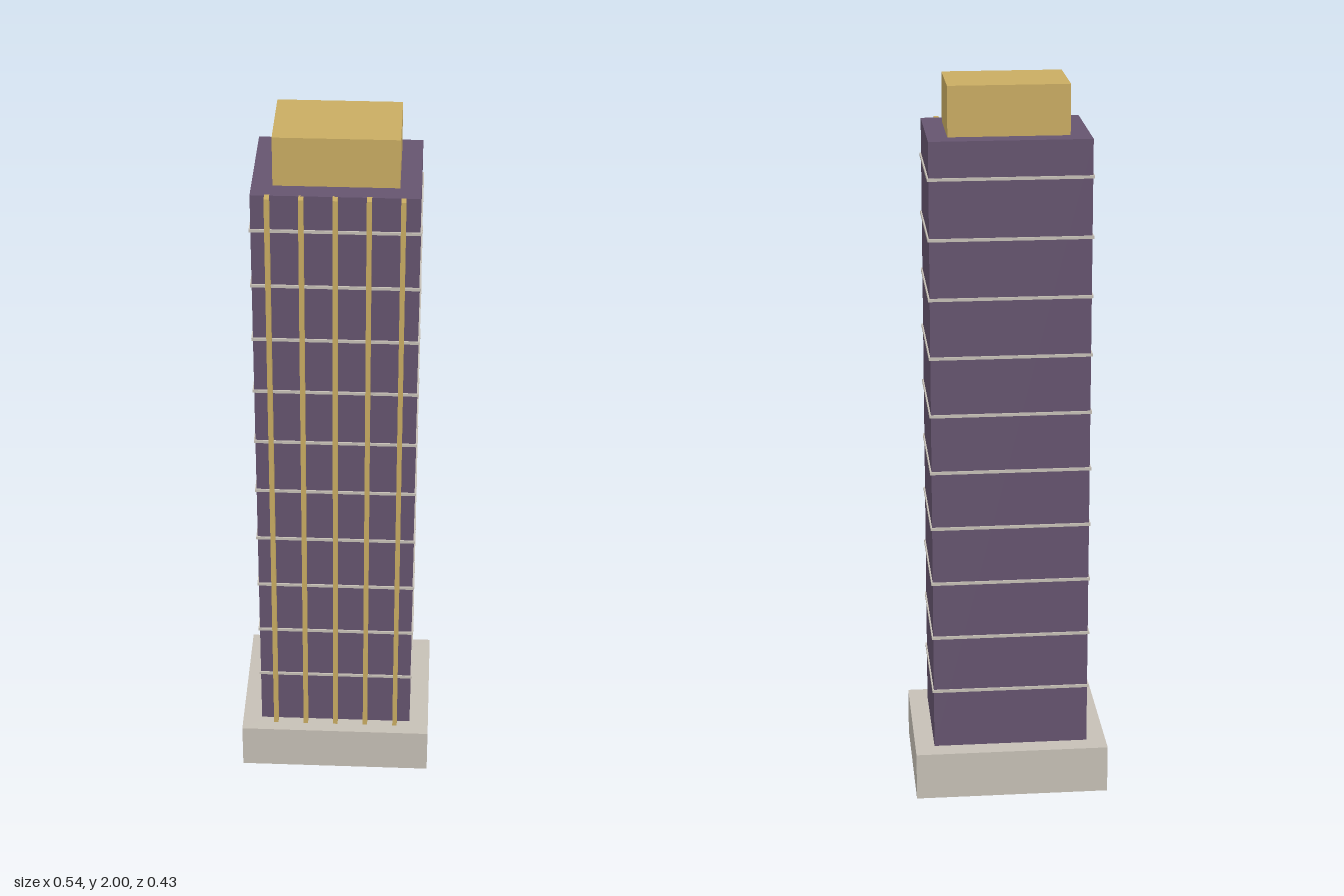
import * as THREE from 'three';

const U = 2 / 37; // one design module; the tower is 37 modules tall

export function createModel() {
  const model = new THREE.Group();
  model.name = 'tower';

  const stone = new THREE.MeshStandardMaterial({ color: 0xc6c0b6 });
  const purple = new THREE.MeshStandardMaterial({ color: 0x65546f });
  const gold = new THREE.MeshStandardMaterial({ color: 0xc9ac62 });

  // Box sized in modules, placed by its bottom centre
  function block(name, material, [w, h, d], [x, y, z], parent = model) {
    const mesh = new THREE.Mesh(new THREE.BoxGeometry(w * U, h * U, d * U), material);
    mesh.position.set(x * U, (y + h / 2) * U, z * U);
    mesh.name = name;
    parent.add(mesh);
  }

  // Main stacked masses
  block('base', stone, [10, 2.5, 8], [0, 0, 0]);
  block('shaft', purple, [8, 32, 6], [0, 2.5, 0]);
  block('crown', gold, [6, 2.5, 4], [0, 34.5, 0]);

  // Thin floor bands wrapping the shaft
  const bands = new THREE.Group();
  bands.name = 'floorBands';
  for (let i = 0; i < 10; i++) {
    block('floorBand', stone, [8.15, 0.15, 6.15], [0, 5.57 + i * 3, 0], bands);
  }
  model.add(bands);

  // Vertical fins on the front face
  const fins = new THREE.Group();
  fins.name = 'frontFins';
  for (let i = -2; i <= 2; i++) {
    block('frontFin', gold, [0.24, 32, 0.5], [i * 1.6, 2.5, 3.15], fins);
  }
  model.add(fins);

  return model;
}
